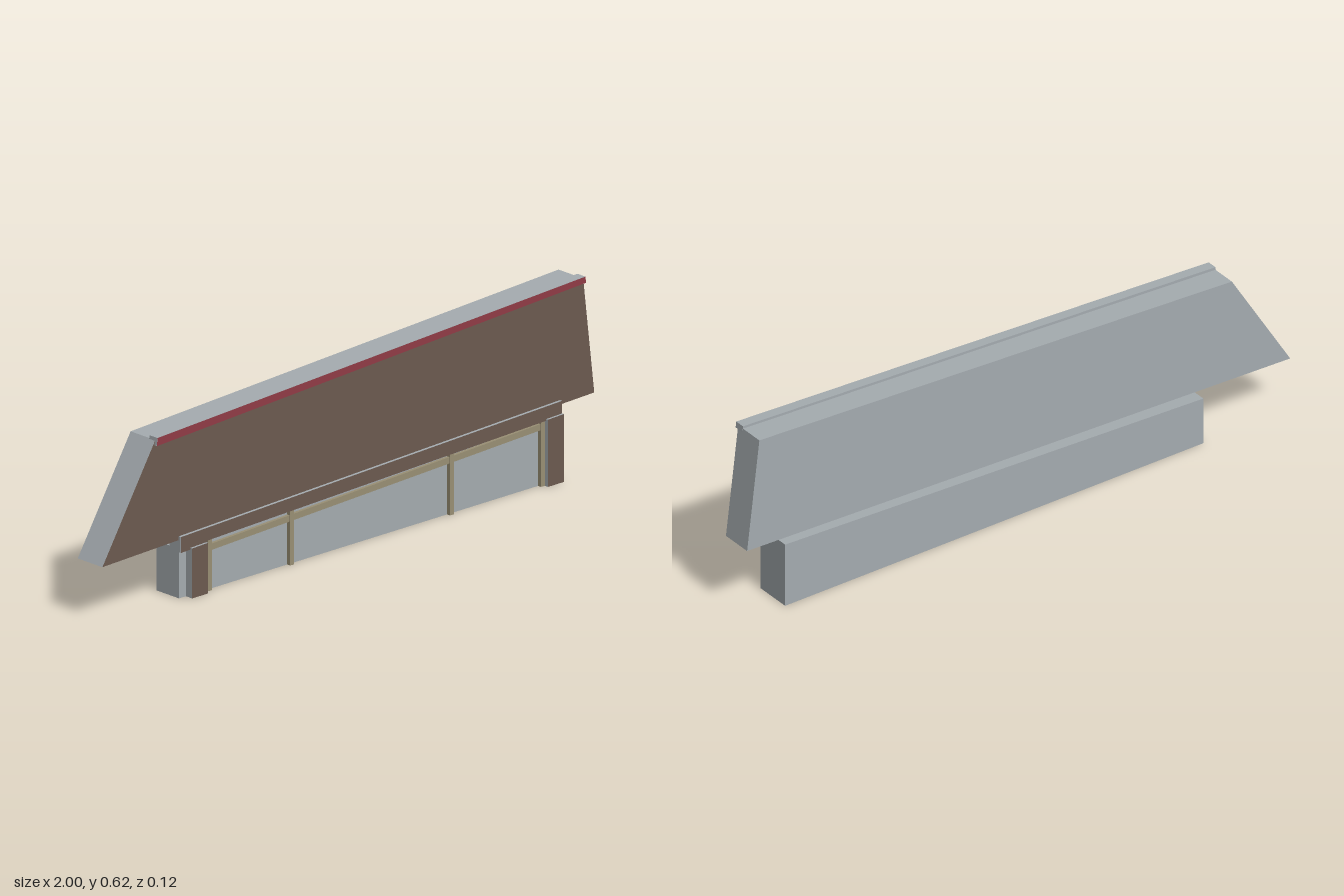
import * as THREE from 'three';

export function createModel() {
  const model = new THREE.Group();
  model.name = 'slopingRoofFacade';

  const mat = (name, color) => Object.assign(new THREE.MeshStandardMaterial({ color }), { name });
  const grey = mat('plain grey', 0xa5acb0);
  const brown = mat('brown facing', 0x6c5a50);
  const red = mat('ridge red', 0x913c46);
  const tan = mat('window frame tan', 0x9a9075);

  const outline = (pts) => new THREE.Shape(pts.map(([x, y]) => new THREE.Vector2(x, y)));

  // Upright slab: an outline in x and y carried from zBack to zFront
  function slab(parent, name, pts, zBack, zFront, material) {
    const geo = new THREE.ExtrudeGeometry(outline(pts), { depth: zFront - zBack, bevelEnabled: false });
    geo.translate(0, 0, zBack);
    const mesh = new THREE.Mesh(geo, material);
    mesh.name = name;
    parent.add(mesh);
  }

  // Grey slab whose front alone is coloured
  function facedSlab(name, pts, zBack, zFront, facing) {
    const part = new THREE.Group();
    part.name = name;
    slab(part, name + 'Body', pts, zBack, zFront - 0.001, grey);
    const face = new THREE.Mesh(new THREE.ShapeGeometry(outline(pts)), facing);
    face.position.z = zFront;
    face.name = name + 'Facing';
    part.add(face);
    model.add(part);
  }

  // Heights along the sloping wall head and the window rail
  const headY = (x) => 0.156 + (x + 0.68) * 0.0375;
  const railY = (x) => 0.124 + (x + 0.585) * 0.039;
  const beamY = (x) => 0.2 + (x + 0.69) * 0.0342;

  // Roof
  facedSlab('roof', [[-1, 0.178], [1, 0.243], [0.955, 0.613], [-0.785, 0.526]], -0.062, 0.045, brown);

  // Ridge strip along the top of the roof
  facedSlab('ridgeStrip', [[-0.788, 0.51], [0.957, 0.601], [0.955, 0.621], [-0.785, 0.535]], 0.02, 0.055, red);

  // Wall
  slab(model, 'wall', [[-0.68, 0], [0.86, 0], [0.86, headY(0.86)], [-0.68, headY(-0.68)]], -0.062, 0.036, grey);

  // Eaves beam, dropping to a bracket over the outer post
  facedSlab('eavesBeam', [
    [-0.69, 0.15], [-0.585, 0.154], [-0.585, 0.163], [0.795, 0.206],
    [0.86, 0.206], [0.86, beamY(0.86)], [-0.69, 0.2],
  ], 0.005, 0.055, brown);

  // End posts
  for (const [name, x0, x1] of [['rightPost', -0.652, -0.587], ['leftPost', 0.795, 0.86]]) {
    facedSlab(name, [[x0, 0], [x1, 0], [x1, headY(x1)], [x0, headY(x0)]], 0.03, 0.063, brown);
  }

  // Window frame: sloping rail and upright mullions
  const frame = new THREE.Group();
  frame.name = 'windowFrame';
  model.add(frame);
  const [a, b] = [-0.587, 0.795];
  slab(frame, 'rail', [[a, railY(a)], [b, railY(b)], [b, railY(b) + 0.02], [a, railY(a) + 0.02]], 0.03, 0.046, tan);
  for (const x of [-0.566, -0.232, 0.418, 0.788]) {
    const [l, r] = [x - 0.008, x + 0.007];
    slab(frame, 'mullion', [[l, 0], [r, 0], [r, headY(r)], [l, headY(l)]], 0.03, 0.049, tan);
  }

  return model;
}
